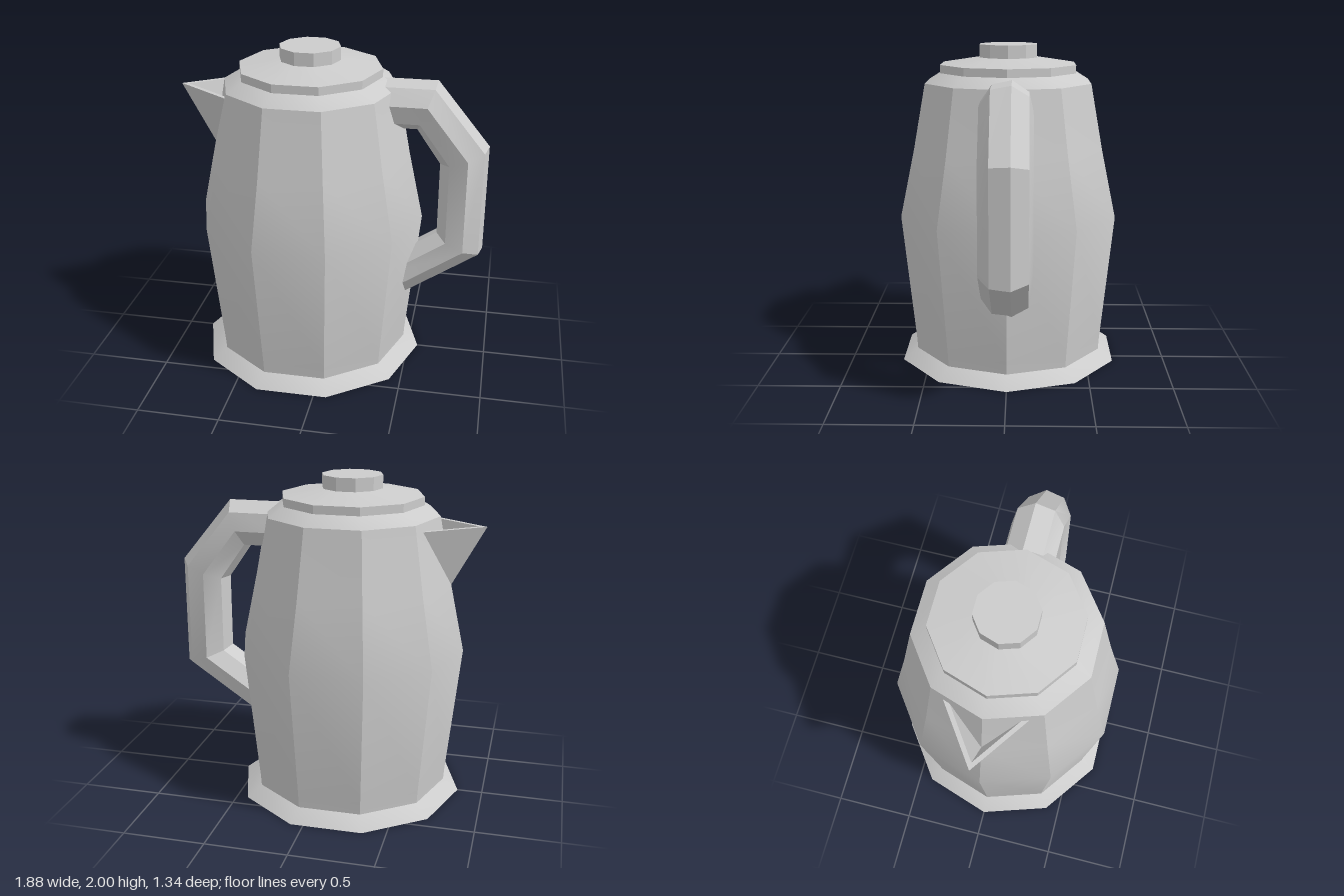
import * as THREE from 'three';
import { toCreasedNormals } from 'three/addons/utils/BufferGeometryUtils.js';

const CENTER_X = -0.14;
const SIDES = 10;
const CREASE = 0.5;

function addMesh(group, name, geometry, options = {}) {
  const material = new THREE.MeshStandardMaterial({ color: 0xcccccc, ...options });
  const mesh = new THREE.Mesh(toCreasedNormals(geometry, CREASE), material);
  mesh.name = name;
  group.add(mesh);
  return mesh;
}

// Ten-sided turned part from [radius, height] pairs, bottom to top
function turned(profile) {
  const points = profile.map(([r, y]) => new THREE.Vector2(r, y));
  return new THREE.LatheGeometry(points, SIDES, Math.PI / 2).translate(CENTER_X, 0, 0);
}

function fromFaces(positions, index) {
  const geometry = new THREE.BufferGeometry();
  geometry.setAttribute('position', new THREE.Float32BufferAttribute(positions, 3));
  geometry.setIndex(index);
  return geometry;
}

// Octagonal bar swept through mitred sections, each given by its outer and inner edge
function handleGeometry() {
  const sections = [
    { outer: [0.2, 1.82], inner: [0.2, 1.53] },
    { outer: [0.62, 1.82], inner: [0.51, 1.53] },
    { outer: [0.94, 1.43], inner: [0.655, 1.32] },
    { outer: [0.94, 0.75], inner: [0.655, 0.86] },
    { outer: [0.45, 0.415], inner: [0.31, 0.627] },
  ];
  const n = 8, twist = -0.19, halfWidth = 0.156;
  const positions = [], index = [];
  sections.forEach(({ outer, inner }, i) => {
    for (let j = 0; j < n; j++) {
      const a = twist + (j / n) * Math.PI * 2;
      const c = Math.cos(a) / Math.cos(twist) / 2;
      positions.push(
        (outer[0] + inner[0]) / 2 + c * (outer[0] - inner[0]),
        (outer[1] + inner[1]) / 2 + c * (outer[1] - inner[1]),
        halfWidth * Math.sin(a));
      if (i === sections.length - 1) continue;
      const k = (j + 1) % n, p = i * n, q = p + n;
      index.push(p + j, p + k, q + k, p + j, q + k, q + j);
    }
  });
  return fromFaces(positions, index);
}

// V-shaped open spout: outer walls, inner walls and the rim between them
function spoutGeometry() {
  const shell = (dx) => [
    -0.945 + dx, 1.72, 0,
    -0.55 + dx, 1.72, 0.276,
    -0.55 + dx, 1.72, -0.276,
    -0.72 + dx, 1.306, 0,
  ];
  return fromFaces([...shell(0), ...shell(0.045)], [
    0, 3, 1, 0, 2, 3,
    4, 5, 7, 4, 7, 6,
    0, 1, 5, 0, 5, 4,
    0, 4, 6, 0, 6, 2,
  ]);
}

export function createModel() {
  const model = new THREE.Group();
  model.name = 'coffeePot';

  // Vessel with flared foot and sloped shoulder
  addMesh(model, 'body', turned([
    [0, 0], [0.705, 0], [0.61, 0.07], [0.615, 0.14], [0.698, 0.95],
    [0.607, 1.37], [0.532, 1.77], [0.435, 1.83],
  ]));

  // Lid and its knob
  addMesh(model, 'lid', turned([[0.435, 1.83], [0.435, 1.88], [0.185, 1.92]]));
  addMesh(model, 'lidKnob', turned([[0.185, 1.92], [0.185, 2], [0, 2]]));

  // Handle on the +x side, spout opposite
  addMesh(model, 'handle', handleGeometry());
  addMesh(model, 'spout', spoutGeometry(), { side: THREE.DoubleSide });

  return model;
}
